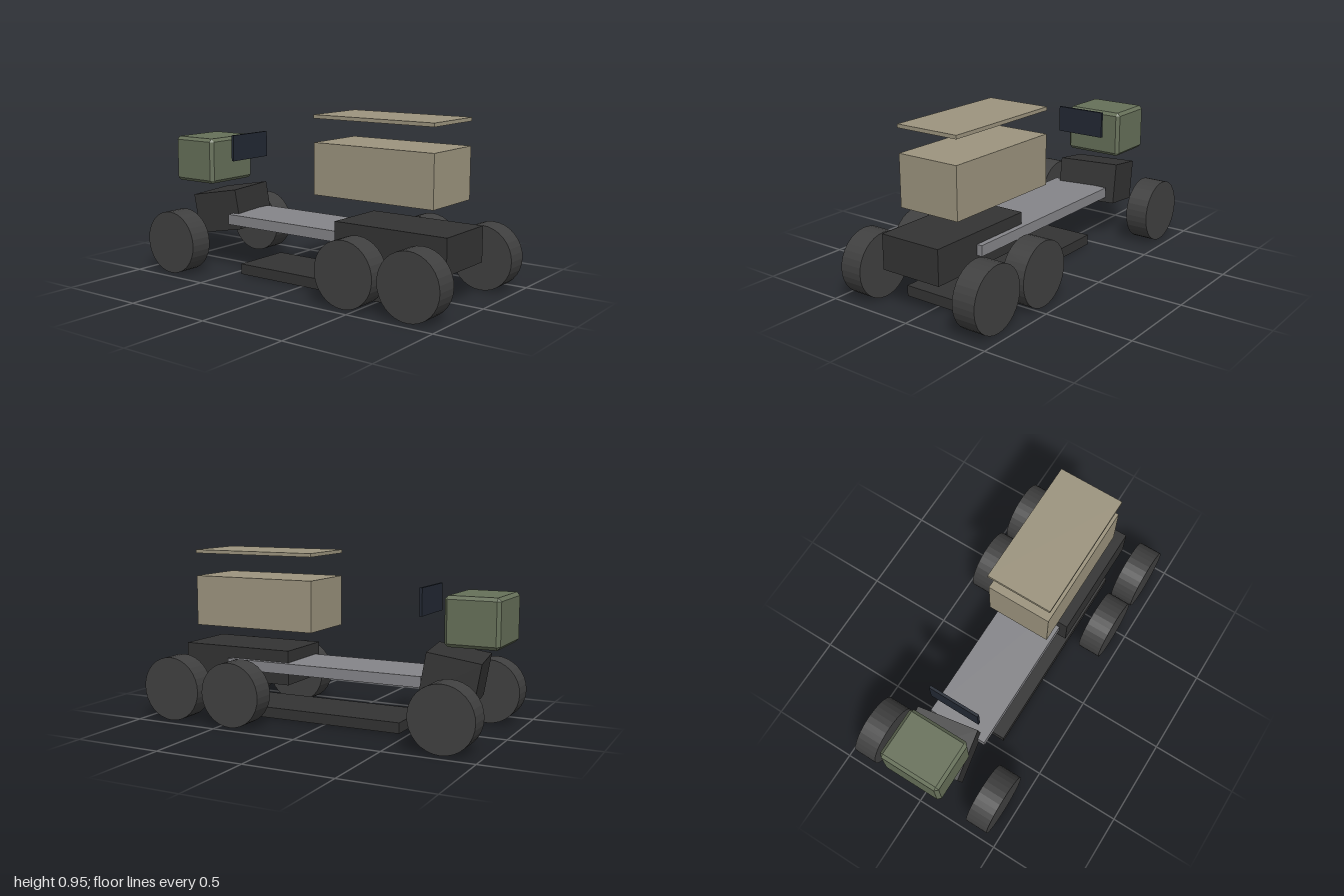
import * as THREE from 'three';
import { ConvexGeometry } from 'three/addons/geometries/ConvexGeometry.js';

const paint = (color) => new THREE.MeshStandardMaterial({ color, flatShading: true });

// Box with every edge and corner cut flat by c
function chamferedBox(w, h, d, c) {
  const points = [];
  for (const sx of [-1, 1]) for (const sy of [-1, 1]) for (const sz of [-1, 1]) {
    for (let axis = 0; axis < 3; axis++) {
      const half = [w, h, d].map((s, i) => s / 2 - (i === axis ? 0 : c));
      points.push(new THREE.Vector3(sx * half[0], sy * half[1], sz * half[2]));
    }
  }
  return new ConvexGeometry(points);
}

export function createModel() {
  const model = new THREE.Group();
  model.name = 'truck';
  const dark = paint(0x333333), rubber = paint(0x404040), steel = paint(0x858589);
  const tan = paint(0x9c947e), green = paint(0x667059), glass = paint(0x222833);

  const add = (name, geometry, material, x, y, z) => {
    const mesh = new THREE.Mesh(geometry, material);
    mesh.name = name;
    mesh.position.set(x, y, z);
    model.add(mesh);
    return mesh;
  };
  const box = (name, material, [w, h, d], [x, y, z]) =>
    add(name, new THREE.BoxGeometry(w, h, d), material, x, y, z);

  // Cargo body and its floating roof panel
  box('roofPanel', tan, [0.38, 0.02, 0.745], [0, 0.94, 0.433]);
  box('cargoBox', tan, [0.372, 0.285, 0.745], [0, 0.658, 0.433]);

  // Chassis: main plate, block under the cargo, and low skid plate
  box('chassisPlate', steel, [0.355, 0.06, 1.19], [-0.001, 0.3, 0.015]);
  box('axleBlock', dark, [0.371, 0.195, 0.682], [-0.04, 0.299, 0.569]);
  box('skidPlate', dark, [0.358, 0.06, 1.197], [-0.039, 0.03, 0.151]);

  // Cab with its separate windscreen
  add('cab', chamferedBox(0.357, 0.266, 0.298, 0.018), green, 0, 0.628, -0.851);
  box('windscreen', glass, [0.297, 0.15, 0.015], [0, 0.716, -0.565]);

  // Engine block, turned and tipped
  const engine = box('engineBlock', dark, [0.357, 0.234, 0.292], [0.021, 0.33, -0.718]);
  engine.rotation.set(-0.17, 0.17, 0, 'YXZ');

  // Three pairs of wheels
  const wheel = new THREE.CylinderGeometry(0.18, 0.18, 0.134, 32).rotateZ(Math.PI / 2);
  for (const [axle, z] of [['front', 0.82], ['middle', 0.433], ['rear', -0.793]]) {
    for (const side of [1, -1]) {
      add(`${axle}${side > 0 ? 'Left' : 'Right'}Wheel`, wheel, rubber, side * 0.373, 0.18, z);
    }
  }
  return model;
}
